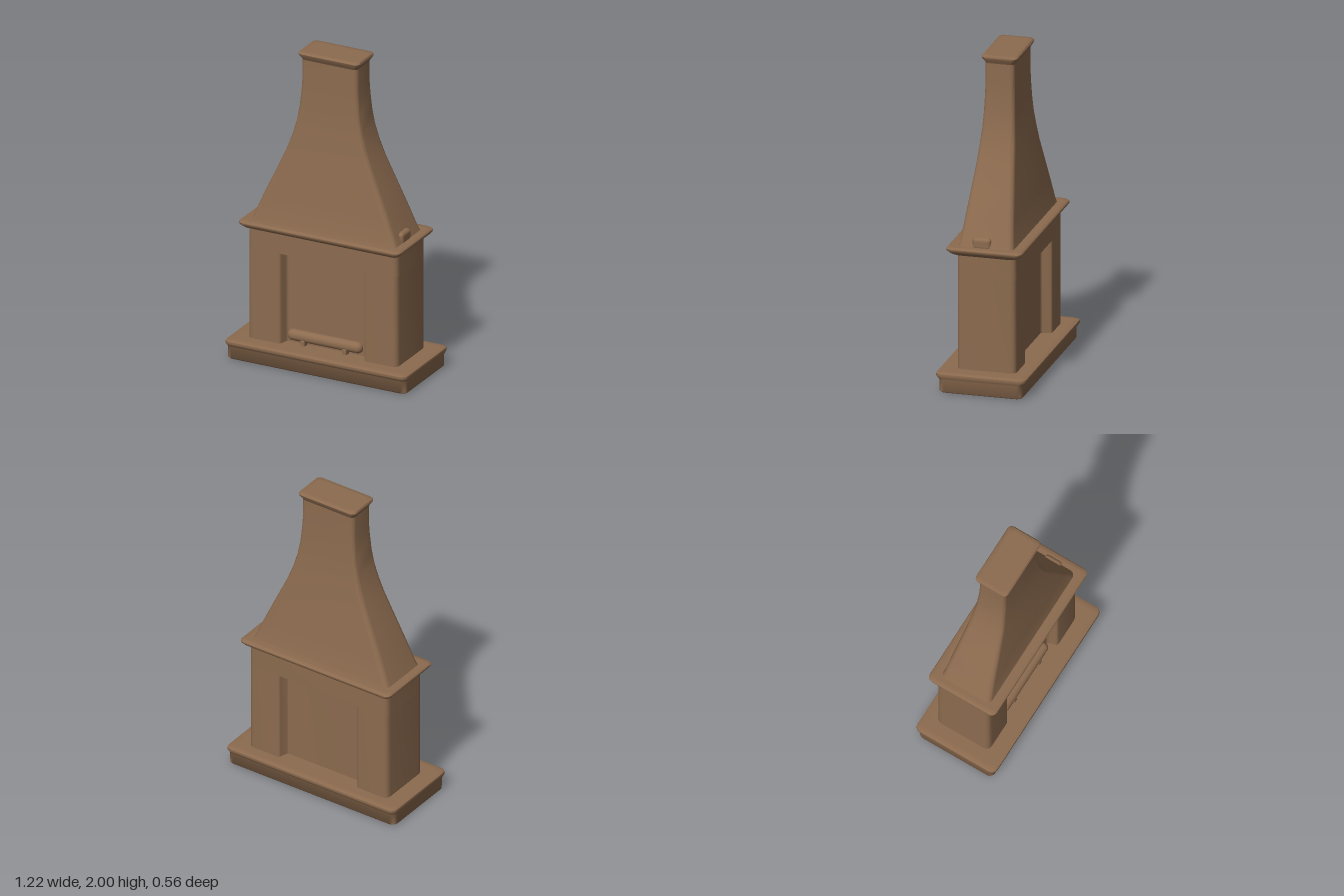
import * as THREE from 'three';
import { toCreasedNormals } from 'three/addons/utils/BufferGeometryUtils.js';
import { RoundedBoxGeometry } from 'three/addons/geometries/RoundedBoxGeometry.js';

const SEG = 5;

// One rounded-rectangle outline at height y
function ring([y, hx, hz, r]) {
  const pts = [];
  [[1, 1], [-1, 1], [-1, -1], [1, -1]].forEach(([sx, sz], q) => {
    for (let i = 0; i <= SEG; i++) {
      const a = (q + i / SEG) * Math.PI / 2;
      pts.push([sx * (hx - r) + r * Math.cos(a), y, sz * (hz - r) + r * Math.sin(a)]);
    }
  });
  return pts;
}

// Closed solid skinned through stacked outlines [y, halfX, halfZ, cornerRadius]
function loft(sections, crease = 0.9) {
  const rings = sections.map(ring);
  const n = rings[0].length;
  const pos = rings.flat(2);
  const idx = [];
  for (let k = 0; k < rings.length - 1; k++) {
    for (let j = 0; j < n; j++) {
      const a = k * n + j, b = k * n + (j + 1) % n;
      idx.push(a, a + n, b, b, a + n, b + n);
    }
  }
  const last = (rings.length - 1) * n, bottom = rings.length * n;
  pos.push(0, sections[0][0], 0, 0, sections[sections.length - 1][0], 0);
  for (let j = 0; j < n; j++) {
    const m = (j + 1) % n;
    idx.push(bottom, j, m, bottom + 1, last + m, last + j);
  }
  const g = new THREE.BufferGeometry();
  g.setAttribute('position', new THREE.Float32BufferAttribute(pos, 3));
  g.setIndex(idx);
  return toCreasedNormals(g, crease);
}

// Floor plan [x, z, cornerRadius] raised to a given height
function raisePlan(corners, height) {
  const s = new THREE.Shape();
  const n = corners.length;
  corners.forEach(([x, z, r], i) => {
    const p = new THREE.Vector2(x, -z);
    const towards = ([u, w]) => new THREE.Vector2(u, -w).sub(p).setLength(r).add(p);
    const a = towards(corners[(i + n - 1) % n]), b = towards(corners[(i + 1) % n]);
    if (i === 0) s.moveTo(a.x, a.y); else s.lineTo(a.x, a.y);
    s.quadraticCurveTo(p.x, p.y, b.x, b.y);
  });
  s.closePath();
  const g = new THREE.ExtrudeGeometry(s, { depth: height, bevelEnabled: false, curveSegments: 6 });
  g.rotateX(-Math.PI / 2);
  return toCreasedNormals(g, 0.6);
}

export function createModel() {
  const group = new THREE.Group();
  const clay = new THREE.MeshStandardMaterial({ color: 0x8c6b4f });
  clay.name = 'brown clay';
  const add = (name, geometry, x = 0, y = 0, z = 0) => {
    const m = new THREE.Mesh(geometry, clay);
    m.name = name;
    m.position.set(x, y, z);
    group.add(m);
    return m;
  };

  // Hearth slab with an overhanging lip
  add('hearth', loft([
    [0, 0.57, 0.225, 0.03], [0, 0.595, 0.25, 0.035], [0.008, 0.603, 0.258, 0.035],
    [0.08, 0.603, 0.26, 0.035], [0.092, 0.608, 0.272, 0.04], [0.105, 0.612, 0.279, 0.04],
    [0.118, 0.61, 0.277, 0.04], [0.124, 0.598, 0.265, 0.035], [0.124, 0.57, 0.235, 0.03],
  ]));

  // Firebox walls: plan with a shallow splayed recess on the front and the back
  const front = 0.174, back = -0.19, frontPanel = 0.108, backPanel = -0.125;
  const left = 0.5, right = -0.503, round = 0.04;
  add('fireboxWalls', raisePlan([
    [right, front, round], [-0.285, front, 0.015], [-0.268, frontPanel, 0.015],
    [0.263, frontPanel, 0.015], [0.28, front, 0.015], [left, front, round],
    [left, back, round], [0.28, back, 0.015], [0.263, backPanel, 0.015],
    [-0.268, backPanel, 0.015], [-0.285, back, 0.015], [right, back, round],
  ], 0.59), 0, 0.115, 0);

  // Solid band above the openings
  add('lintel', raisePlan([
    [right, front, round], [left, front, round], [left, back, round], [right, back, round],
  ], 0.145), 0, 0.705, 0);

  // Mantel shelf moulding
  add('mantel', loft([
    [0.835, 0.498, 0.183, 0.03], [0.845, 0.514, 0.205, 0.03], [0.858, 0.53, 0.222, 0.035],
    [0.872, 0.541, 0.233, 0.035], [0.882, 0.542, 0.234, 0.035], [0.89, 0.534, 0.226, 0.035],
    [0.89, 0.51, 0.2, 0.03],
  ]));

  // Tapering smoke hood running into the chimney neck
  add('hood', loft([
    [0.88, 0.492, 0.174, 0.035], [0.91, 0.478, 0.166, 0.035], [1.05, 0.42, 0.151, 0.035],
    [1.2, 0.353, 0.135, 0.033], [1.35, 0.286, 0.119, 0.031], [1.45, 0.248, 0.111, 0.03],
    [1.55, 0.22, 0.102, 0.028], [1.64, 0.204, 0.097, 0.027], [1.74, 0.193, 0.093, 0.025],
    [1.82, 0.188, 0.091, 0.025], [1.96, 0.187, 0.09, 0.025],
  ]));

  // Chimney cap
  add('chimneyCap', loft([
    [1.945, 0.185, 0.088, 0.025], [1.962, 0.192, 0.097, 0.028], [1.98, 0.204, 0.109, 0.03],
    [1.991, 0.206, 0.112, 0.03], [2, 0.199, 0.105, 0.028], [2, 0.175, 0.08, 0.025],
  ]));

  // Small damper block on the side of the hood
  add('damperBlock', new RoundedBoxGeometry(0.05, 0.075, 0.115, 4, 0.022), 0.466, 0.913, 0.025);

  // Log resting on a grate, half sunk in the front panel
  add('log', new RoundedBoxGeometry(0.5, 0.07, 0.07, 4, 0.033), -0.01, 0.175, 0.112);
  for (const x of [-0.15, 0.13]) {
    add('grateFoot', new RoundedBoxGeometry(0.03, 0.045, 0.045, 2, 0.008), x, 0.137, 0.125);
  }
  return group;
}
